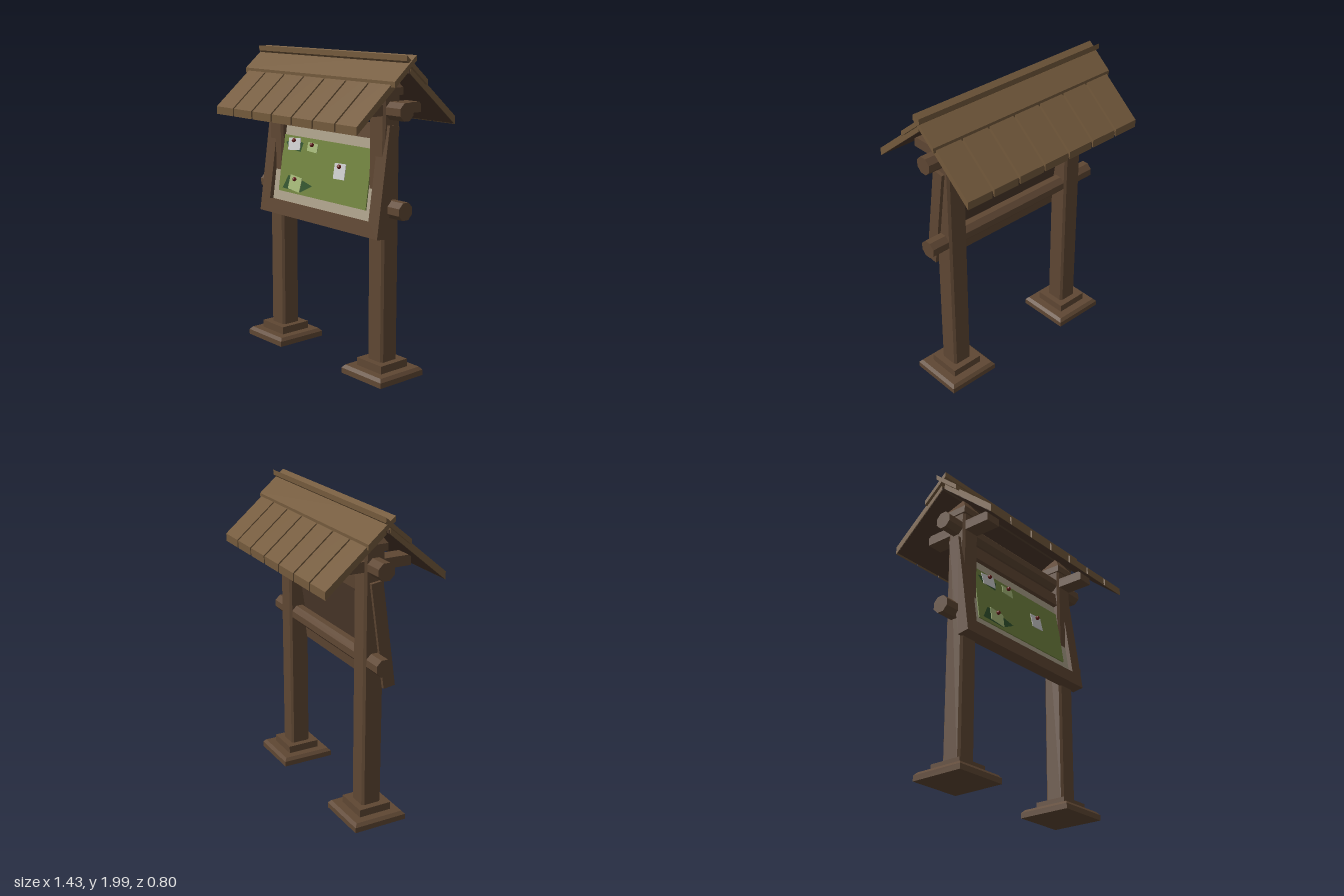
import * as THREE from 'three';

const mat = (color, side = THREE.FrontSide) =>
  new THREE.MeshStandardMaterial({ color, flatShading: true, roughness: 0.9, side });
const WOOD = mat(0x5f4733), ROOF = mat(0x745a3c), BACK = mat(0x4a3729);
const CREAM = mat(0xada18b), GREEN = mat(0x738540);
const WHITE = mat(0xcccccc, THREE.DoubleSide), PALE = mat(0xa5b878, THREE.DoubleSide);
const LEAF = mat(0x33552f, THREE.DoubleSide), PIN = mat(0x6b1f1c);

function add(parent, name, geometry, material, x = 0, y = 0, z = 0) {
  const mesh = new THREE.Mesh(geometry, material);
  mesh.name = name;
  mesh.position.set(x, y, z);
  parent.add(mesh);
  return mesh;
}
const box = (w, h, d) => new THREE.BoxGeometry(w, h, d);
const polygon = (pts) => new THREE.Shape(pts.map(([x, y]) => new THREE.Vector2(x, y)));

// Square block that may narrow towards the top
const frustum = (top, bottom, h) =>
  new THREE.CylinderGeometry(top / Math.SQRT2, bottom / Math.SQRT2, h, 4).rotateY(Math.PI / 4);

// Upright with chamfered corners, standing on y = 0
function chamferedPost(w, c, h) {
  const a = w / 2, b = a - c;
  const s = polygon([[a, -b], [a, b], [b, a], [-b, a], [-a, b], [-a, -b], [-b, -a], [b, -a]]);
  return new THREE.ExtrudeGeometry(s, { depth: h, bevelEnabled: false }).rotateX(-Math.PI / 2);
}

// Sloping board with plumb-cut ends: z0..z1, top edge at height y1 at z1, extruded along x
const SLOPE = 0.838;
function slopeBoard(z0, z1, y1, thick, length) {
  const y0 = y1 + (z1 - z0) * SLOPE;
  const s = polygon([[z0, y0 - thick], [z1, y1 - thick], [z1, y1], [z0, y0]]);
  return new THREE.ExtrudeGeometry(s, { depth: length, bevelEnabled: false })
    .translate(0, 0, -length / 2).rotateY(-Math.PI / 2);
}

function makePost(x) {
  const g = new THREE.Group();
  g.name = 'post';
  g.position.x = x;
  add(g, 'footPlate', frustum(0.36, 0.36, 0.035), WOOD, 0, 0.0175, 0);
  add(g, 'footPlateBevel', frustum(0.325, 0.36, 0.02), WOOD, 0, 0.045, 0);
  add(g, 'footBlock', frustum(0.22, 0.22, 0.05), WOOD, 0, 0.08, 0);
  add(g, 'upright', chamferedPost(0.135, 0.014, 1.7), WOOD, 0, 0.06, 0);
  add(g, 'capBlock', frustum(0.155, 0.155, 0.045), WOOD, 0, 1.775, 0);
  add(g, 'capPoint', frustum(0, 0.155, 0.11), WOOD, 0, 1.8525, 0);
  add(g, 'roofArm', box(0.11, 0.065, 0.5), WOOD, 0, 1.667, 0);
  return g;
}

// One side of the roof, facing +z
function makeRoofSide(capLength) {
  const g = new THREE.Group();
  g.name = 'roofSide';
  add(g, 'underBoard', slopeBoard(0.008, 0.39, 1.592, 0.024, 1.37), BACK);
  const edges = [-0.695, -0.5, -0.3, -0.1, 0.1, 0.3, 0.5, 0.695];
  for (let i = 0; i < 7; i++) {
    const w = edges[i + 1] - edges[i] - 0.014;
    add(g, 'roofPlank', slopeBoard(0.012, 0.4, 1.612, 0.05, w), ROOF, (edges[i] + edges[i + 1]) / 2);
  }
  add(g, 'ridgeBoard', slopeBoard(-0.034, 0.138, 1.85, 0.033, capLength), ROOF);
  return g;
}

// Paper note held by a pin
function makeNote(x, y, w, h, tilt, material) {
  const g = new THREE.Group();
  g.name = 'note';
  g.position.set(x, y, 0.026);
  add(g, 'paper', box(w, h, 0.004), material).rotation.set(-0.06, 0, tilt);
  add(g, 'pin', new THREE.SphereGeometry(0.014, 8, 6), PIN, 0.003, h * 0.3, 0.012);
  return g;
}

function makeBoard() {
  const g = new THREE.Group();
  g.name = 'noticeBoard';
  const W = 1.16, H = 0.685, rim = 0.092, depth = 0.08;
  const frame = polygon([[-W / 2, -H / 2], [W / 2, -H / 2], [W / 2, H / 2], [-W / 2, H / 2]]);
  const iw = W / 2 - rim, ih = H / 2 - rim;
  frame.holes.push(polygon([[-iw, -ih], [-iw, ih], [iw, ih], [iw, -ih]]));
  add(g, 'frame', new THREE.ExtrudeGeometry(frame, { depth, bevelEnabled: false }), WOOD, 0, 0, -depth / 2);
  add(g, 'backPanel', box(iw * 2, ih * 2, 0.02), BACK, 0, 0, -0.015);
  add(g, 'creamPanel', box(iw * 2, ih * 2, 0.017), CREAM, 0, 0, 0.003);
  add(g, 'greenPanel', box(0.86, 0.375, 0.01), GREEN, 0, 0, 0.014);

  // Dark leaf-shaped papers behind two of the notes
  const leaves = [
    [[-0.4, 0.14], [-0.36, 0.1], [-0.24, 0.09], [-0.22, 0.15], [-0.3, 0.165]],
    [[-0.39, -0.165], [-0.2, -0.17], [-0.09, -0.115], [-0.2, -0.09], [-0.34, -0.075]],
  ];
  for (const pts of leaves) add(g, 'leafPaper', new THREE.ShapeGeometry(polygon(pts)), LEAF, 0, 0, 0.021);

  g.add(makeNote(-0.305, 0.135, 0.12, 0.08, 0.09, WHITE));
  g.add(makeNote(-0.118, 0.132, 0.1, 0.058, -0.06, PALE));
  g.add(makeNote(0.165, 0.015, 0.105, 0.1, 0.03, WHITE));
  g.add(makeNote(-0.258, -0.12, 0.12, 0.095, -0.1, PALE));
  g.position.set(0, 1.235, 0.049);
  g.rotation.x = -0.141;
  return g;
}

export function createModel() {
  const model = new THREE.Group();
  model.name = 'noticeBoardShelter';
  for (const side of [-1, 1]) model.add(makePost(side * 0.49));

  // Octagonal cross rails through the posts
  for (const y of [1.072, 1.664]) {
    const rail = new THREE.CylinderGeometry(0.058, 0.058, 1.36, 8)
      .rotateY(Math.PI / 8).rotateZ(Math.PI / 2);
    add(model, 'crossRail', rail, WOOD, 0, y, 0);
  }

  model.add(makeBoard());
  const front = makeRoofSide(1.435), back = makeRoofSide(1.415);
  back.rotation.y = Math.PI;
  model.add(front, back);
  return model;
}
